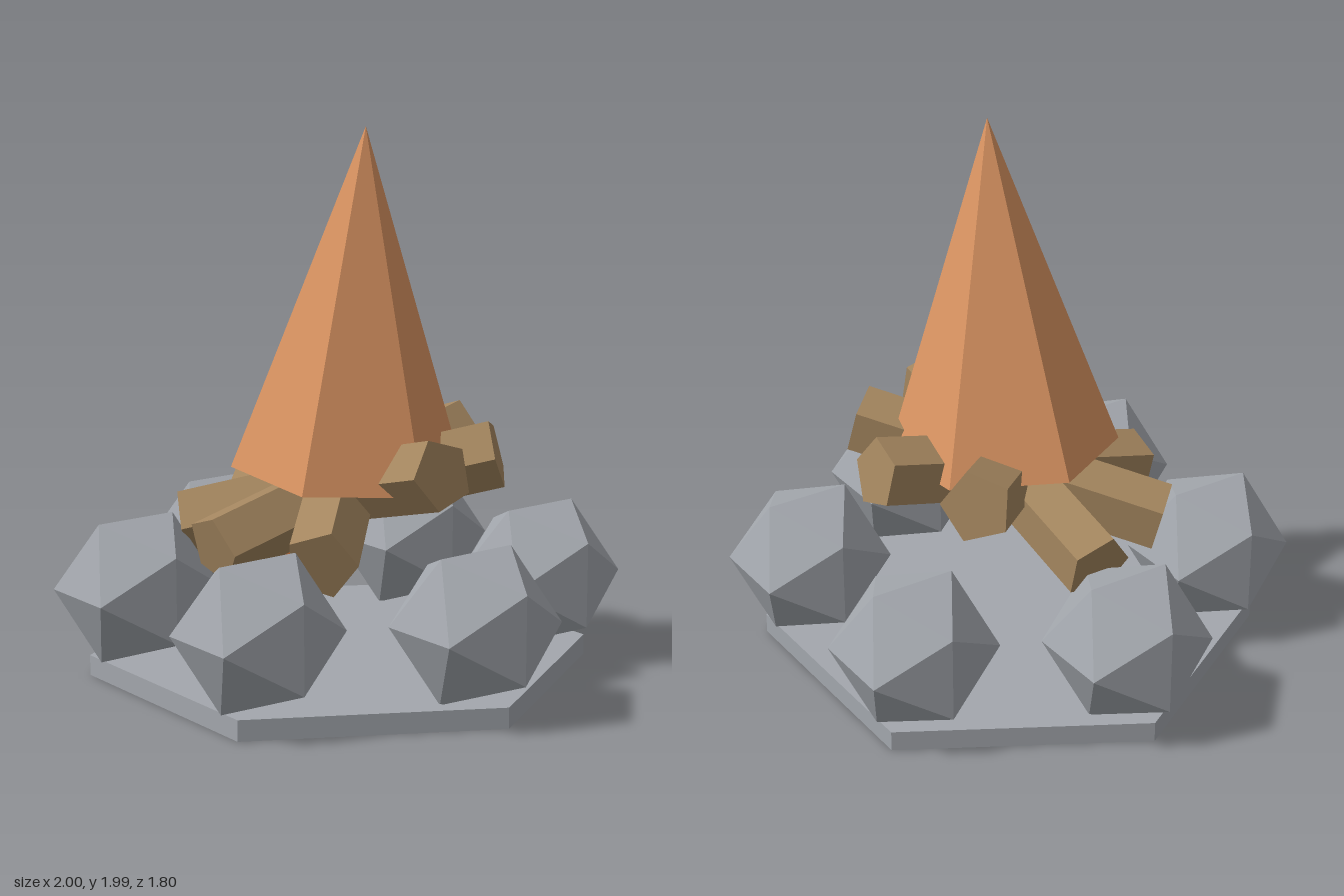
import * as THREE from 'three';

const material = (name, color) => {
  const m = new THREE.MeshStandardMaterial({ color, flatShading: true });
  m.name = name;
  return m;
};

export function createModel() {
  const group = new THREE.Group();
  group.name = 'campfire';
  const stone = material('stone grey', 0xa3a7ad);
  const wood = material('wood brown', 0xa4865f);
  const flameOrange = material('flame orange', 0xda9462);
  const emberOrange = material('ember orange', 0xcf7a45);

  const add = (name, geometry, mat, x, y, z) => {
    const mesh = new THREE.Mesh(geometry, mat);
    mesh.name = name;
    mesh.position.set(x, y, z);
    group.add(mesh);
    return mesh;
  };

  // Hexagonal slab with corners on the x axis
  const slab = new THREE.CylinderGeometry(0.92, 0.92, 0.075, 6).rotateY(Math.PI / 6);
  add('base', slab, stone, 0, 0.0375, 0);

  // Ring of six stones, all turned the same way
  const rock = new THREE.IcosahedronGeometry(0.3, 0).rotateY(Math.PI / 2);
  for (let i = 0; i < 6; i++) {
    const a = (i * Math.PI) / 3;
    add('stone' + (i + 1), rock, stone, 0.745 * Math.cos(a), 0.325, 0.745 * Math.sin(a));
  }

  // Four five-sided logs crossing at the middle, each tilted upward
  const log = new THREE.CylinderGeometry(0.13, 0.13, 1.17, 5).rotateZ(0.25 - Math.PI / 2);
  for (let i = 0; i < 4; i++) {
    add('log' + (i + 1), log, wood, 0, 0.672, 0).rotation.y = (i * Math.PI) / 4;
  }

  // Leaning six-sided flame, pivoting on its base
  const flame = new THREE.ConeGeometry(0.424, 1.24, 6).rotateY(Math.PI / 6).translate(0, 0.62, 0);
  add('flame', flame, flameOrange, 0.04, 0.75, 0).rotation.z = -0.082;

  // Glowing ember under the logs
  const ember = new THREE.IcosahedronGeometry(0.112, 0).rotateY(Math.PI / 2);
  add('ember', ember, emberOrange, 0, 0.466, 0.13);

  return group;
}
